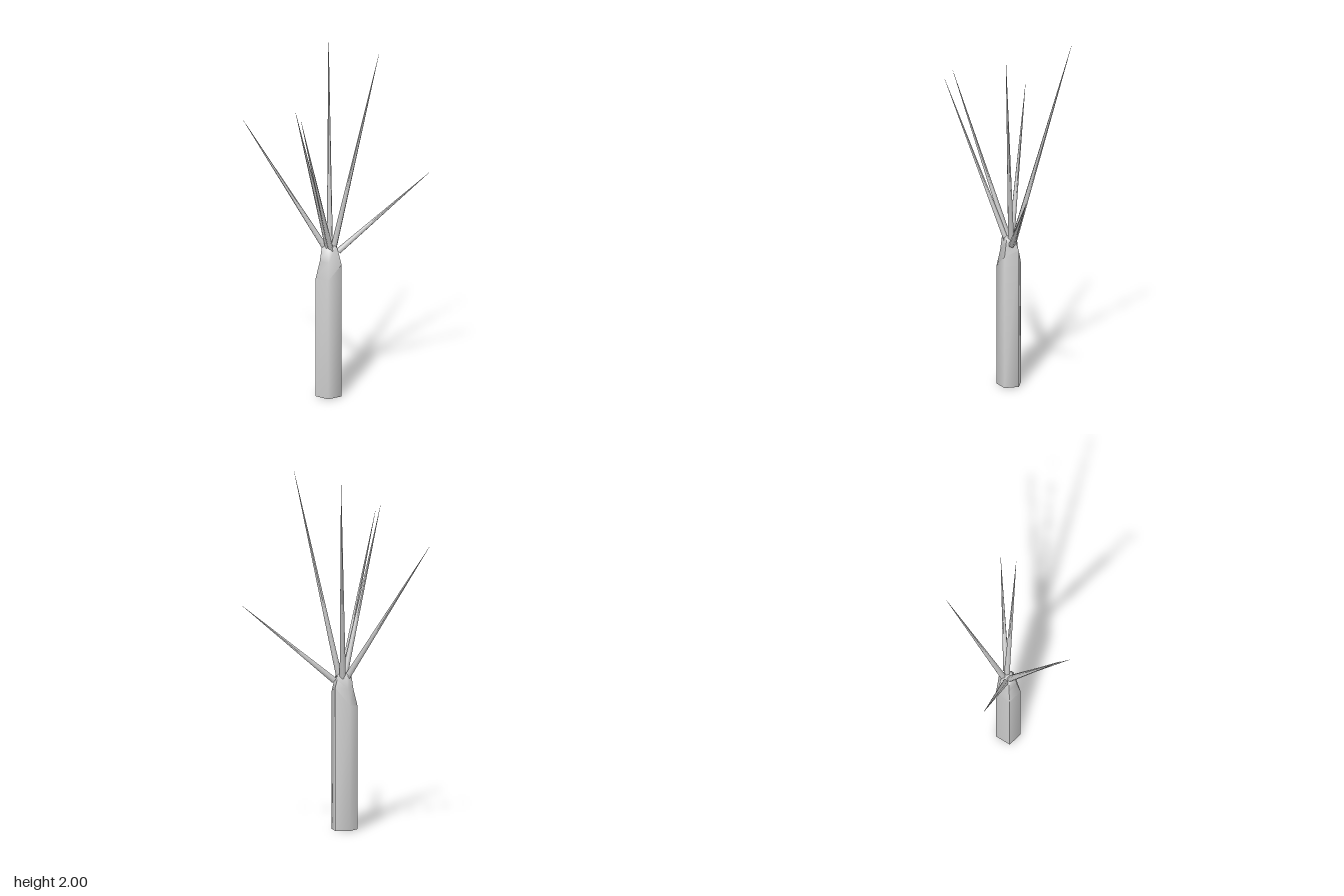
import * as THREE from 'three';
import { toCreasedNormals } from 'three/addons/utils/BufferGeometryUtils.js';

const material = new THREE.MeshStandardMaterial({ color: 0xcccccc, side: THREE.DoubleSide });

// Skin a stack of rings, closing both ends with a fan
function loft(rings) {
  const n = rings[0].length;
  const index = [];
  const points = rings.flat();
  for (let r = 0; r < rings.length - 1; r++) {
    for (let i = 0; i < n; i++) {
      const a = r * n + i, b = r * n + (i + 1) % n;
      index.push(a, a + n, b, b, a + n, b + n);
    }
  }
  const top = (rings.length - 1) * n;
  for (let i = 1; i < n - 1; i++) {
    index.push(0, i, i + 1);
    index.push(top, top + i + 1, top + i);
  }
  const geometry = new THREE.BufferGeometry();
  geometry.setAttribute('position', new THREE.Float32BufferAttribute(points.flat(), 3));
  geometry.setIndex(index);
  return toCreasedNormals(geometry, 1.3);
}

// Irregular five-sided trunk; each corner bends inward at its own height
function makeTrunk() {
  // x, z, shoulder height, neck height
  const corners = [
    [0.08, -0.02, 0.77, 0.84],
    [0.04, 0.06, 0.69, 0.79],
    [-0.045, 0.05, 0.69, 0.79],
    [-0.055, -0.04, 0.7, 0.79],
    [0.02, -0.075, 0.8, 0.84],
  ];
  const cx = 0.015, cz = -0.013;
  const ring = (scale, height) => corners.map((c) =>
    [cx + (c[0] - cx) * scale, height(c), cz + (c[1] - cz) * scale]);
  const mesh = new THREE.Mesh(loft([
    ring(1, () => 0),
    ring(1, (c) => c[2]),
    ring(0.72, (c) => c[3]),
    ring(0.6, () => 0.865),
    ring(0.42, () => 0.875),
  ]), material);
  mesh.name = 'trunk';
  return mesh;
}

// Straight branch tapering to a point
function makeBranch(base, tip, radius) {
  const from = new THREE.Vector3(...base);
  const dir = new THREE.Vector3(...tip).sub(from);
  const length = dir.length();
  const geometry = new THREE.CylinderGeometry(0.0006, radius, length, 5, 1);
  geometry.translate(0, length / 2, 0);
  const mesh = new THREE.Mesh(geometry, material);
  mesh.position.copy(from);
  mesh.quaternion.setFromUnitVectors(new THREE.Vector3(0, 1, 0), dir.normalize());
  return mesh;
}

export function createModel() {
  const group = new THREE.Group();
  group.name = 'bareTree';
  group.add(makeTrunk());

  // base, tip, base radius
  const branches = [
    [[-0.01, 0.85, -0.005], [-0.435, 1.59, 0.18], 0.018],
    [[0.0, 0.85, -0.03], [-0.167, 1.99, -0.3], 0.018],
    [[0.025, 0.85, -0.025], [0.25, 2.0, -0.14], 0.018],
    [[0.045, 0.835, -0.045], [0.425, 1.26, -0.39], 0.018],
    [[0.01, 0.85, 0.0], [0.011, 1.77, 0.368], 0.018],
    [[0.027, 0.85, 0.005], [0.06, 1.73, 0.39], 0.016],
  ];
  branches.forEach(([base, tip, radius], i) => {
    const branch = makeBranch(base, tip, radius);
    branch.name = `branch${i + 1}`;
    group.add(branch);
  });
  return group;
}
